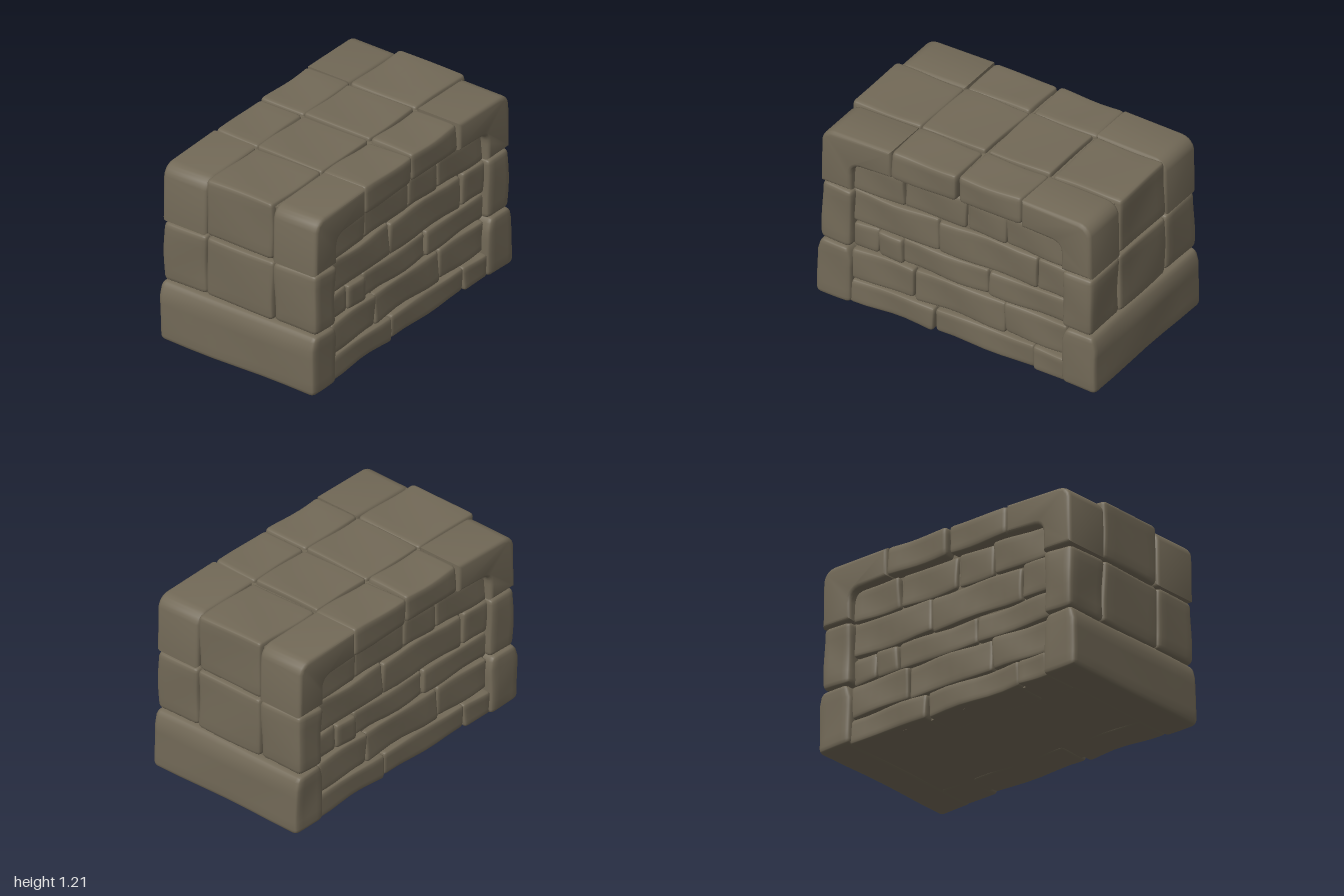
import * as THREE from 'three';
import { mergeVertices, toCreasedNormals } from 'three/addons/utils/BufferGeometryUtils.js';

const stone = new THREE.MeshStandardMaterial({ color: 0x726957 });
stone.name = 'stone';

// Gentle hand-hewn unevenness that depends on position and stone seed
function wobble(v, amp, seed) {
  const { x, y, z } = v;
  v.x += amp * Math.sin(9 * y + 7 * z + seed * 1.7);
  v.y += amp * Math.sin(10 * x + 6 * z + seed * 2.3);
  v.z += amp * Math.sin(11 * x + 13 * y + seed * 3.1);
  v.y = Math.max(v.y, 0.002);
}

// Worn block given by its min and max corners, with edges rounded by r
let seed = 0;
function block(name, [x0, x1], [y0, y1], [z0, z1], r = 0.03, amp = 0.005) {
  const N = 10;
  const geo = new THREE.BoxGeometry(1, 1, 1, N, N, N);
  geo.deleteAttribute('uv');
  geo.deleteAttribute('normal');
  const pos = geo.attributes.position;
  const lo = [x0, y0, z0], hi = [x1, y1, z1];
  const v = new THREE.Vector3(), c = new THREE.Vector3();
  const iLo = new THREE.Vector3(x0 + r, y0 + r, z0 + r);
  const iHi = new THREE.Vector3(x1 - r, y1 - r, z1 - r);
  // gather rows of vertices near the edges
  const place = (u, a, b) => {
    const i = Math.round((u + 0.5) * N);
    const ease = [0, 0.35 * r, r];
    if (i < 3) return a + ease[i];
    if (i > N - 3) return b - ease[N - i];
    return a + r + (b - a - 2 * r) * (i - 2) / (N - 4);
  };
  seed++;
  for (let i = 0; i < pos.count; i++) {
    v.fromBufferAttribute(pos, i);
    v.set(place(v.x, lo[0], hi[0]), place(v.y, lo[1], hi[1]), place(v.z, lo[2], hi[2]));
    c.copy(v).clamp(iLo, iHi);
    v.sub(c).setLength(r).add(c);
    wobble(v, amp, seed);
    pos.setXYZ(i, v.x, v.y, v.z);
  }
  const smooth = mergeVertices(geo, 1e-5);
  smooth.computeVertexNormals();
  const mesh = new THREE.Mesh(smooth, stone);
  mesh.name = name;
  return mesh;
}

// L-shaped stone framing an upper corner of the wall face
function cornerStone(side, z0, z1) {
  const b = 0.025;
  const s = new THREE.Shape();
  const X = x => side * x;
  s.moveTo(X(0.75 + b), 0.82 + b);
  s.lineTo(X(0.965 - b), 0.82 + b);
  s.lineTo(X(0.96 - b), 1.12);
  s.quadraticCurveTo(X(0.95 - b), 1.195 - b, X(0.87), 1.2 - b);
  s.lineTo(X(0.465 + b), 1.207 - b);
  s.lineTo(X(0.465 + b), 1.02 + b);
  s.lineTo(X(0.69), 1.01 + b);
  s.quadraticCurveTo(X(0.75 + b), 1.0 + b, X(0.75 + b), 0.93);
  const geo = new THREE.ExtrudeGeometry(s, {
    depth: z1 - z0 - 2 * b, bevelEnabled: true, bevelSize: b, bevelThickness: b, bevelSegments: 3, curveSegments: 5
  });
  geo.translate(0, 0, z0 + b);
  const mesh = new THREE.Mesh(toCreasedNormals(geo, 0.65), stone);
  mesh.name = 'cornerStone';
  return mesh;
}

// Wall courses: height range, face depth and joints along x
const courses = [
  { y: [0.005, 0.17], z: 0.55, joints: [-0.77, -0.175, 0.535, 0.77] },
  { y: [0.175, 0.39], z: 0.535, joints: [-0.77, -0.325, 0.32, 0.77] },
  { y: [0.395, 0.57], z: 0.525, joints: [-0.77, -0.585, -0.41, 0.2, 0.77] },
  { y: [0.575, 0.8], z: 0.525, joints: [-0.77, -0.155, 0.55, 0.77] },
  { y: [0.805, 1.02], z: 0.515, joints: [-0.77, -0.4, 0.04, 0.32, 0.77] }
];

function wallFace() {
  const face = new THREE.Group();
  face.name = 'wallFace';
  courses.forEach(({ y, z, joints }, row) => {
    for (let i = 0; i + 1 < joints.length; i++) {
      const front = z + 0.008 * Math.sin(row * 2 + i * 4);
      face.add(block('wallStone', [joints[i], joints[i + 1]], y, [0.3, front], 0.025, 0.006));
    }
  });
  // cap stones over the middle of the face
  face.add(block('capStone', [-0.47, -0.005], [1.015, 1.208], [0.245, 0.57]));
  face.add(block('capStone', [0.005, 0.455], [1.02, 1.21], [0.245, 0.565]));
  for (const s of [-1, 1]) {
    face.add(cornerStone(s, 0.245, 0.575));
    const x = s > 0 ? [0.75, 0.965] : [-0.965, -0.75];
    face.add(block('columnStone', x, [0.405, 0.812], [0.25, 0.573], 0.035));
  }
  return face;
}

export function createModel() {
  const model = new THREE.Group();
  model.name = 'stoneBlockWall';

  // Solid core behind the joints
  const core = new THREE.Mesh(new THREE.BoxGeometry(1.84, 1.17, 0.98), stone);
  core.name = 'core';
  core.position.y = 0.595;
  model.add(core);

  // Front face, and the same face turned to the back
  const front = wallFace();
  const back = front.clone();
  back.rotation.y = Math.PI;
  model.add(front, back);

  // Middle row of top slabs
  model.add(block('topSlab', [-0.465, -0.003], [1.0, 1.208], [-0.247, 0.242], 0.022, 0.004));
  model.add(block('topSlab', [0.008, 0.452], [1.0, 1.212], [-0.247, 0.242], 0.022, 0.004));

  for (const s of [-1, 1]) {
    const range = (a, b) => (s > 0 ? [a, b] : [-b, -a]);
    // Middle stones of each end
    model.add(block('endTopStone', range(0.465, 0.962), [0.82, 1.208], [-0.25, 0.243], 0.03, 0.004));
    model.add(block('endMiddleStone', range(0.6, 0.965), [0.405, 0.812], [-0.25, 0.248], 0.03, 0.004));

    // Base stone with sloping shoulders
    const base = block('baseStone', range(0.75, 0.998), [0.002, 0.4], [-0.577, 0.577], 0.035, 0.003);
    const p = base.geometry.attributes.position;
    for (let i = 0; i < p.count; i++) {
      const t = Math.max(0, (p.getY(i) - 0.33) / 0.07);
      const mid = s * 0.87;
      p.setX(i, mid + (p.getX(i) - mid) * (1 - 0.25 * Math.min(t, 1)));
    }
    base.geometry.computeVertexNormals();
    model.add(base);
  }
  return model;
}
